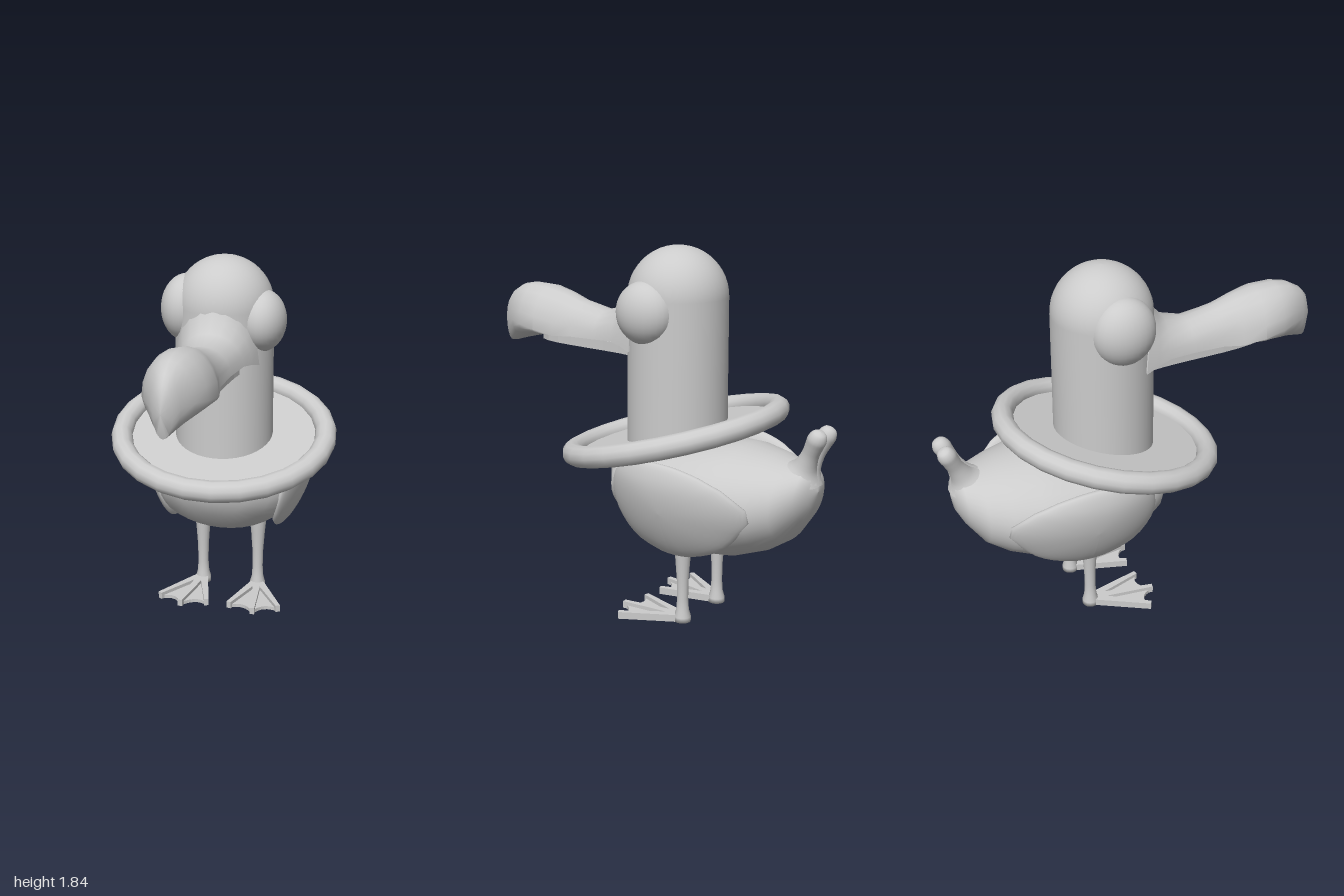
import * as THREE from 'three';
import { toCreasedNormals } from 'three/addons/utils/BufferGeometryUtils.js';

const grey = new THREE.MeshStandardMaterial({ color: 0xcccccc });
const greyDouble = new THREE.MeshStandardMaterial({ color: 0xcccccc, side: THREE.DoubleSide });
const V2 = (x, y) => new THREE.Vector2(x, y);
const V3 = (x, y, z) => new THREE.Vector3(x, y, z);

function add(parent, name, geometry, material = grey) {
  const mesh = new THREE.Mesh(geometry, material);
  mesh.name = name;
  parent.add(mesh);
  return mesh;
}

// Skin over rows of closed loops; rows run along +z, loops counterclockwise seen from +z.
function loft(rows, sides, point) {
  const pos = [], index = [];
  rows.forEach((row, i) => {
    for (let j = 0; j < sides; j++) {
      pos.push(...point(row, (j / sides) * Math.PI * 2));
      if (i === rows.length - 1) continue;
      const a = i * sides + j, b = i * sides + (j + 1) % sides;
      index.push(a, b, a + sides, b, b + sides, a + sides);
    }
  });
  const g = new THREE.BufferGeometry();
  g.setAttribute('position', new THREE.Float32BufferAttribute(pos, 3));
  g.setIndex(index);
  g.computeVertexNormals();
  return g;
}

// Flat plate drawn in x/z, standing on y = 0.
function plate(shape, height) {
  return new THREE.ExtrudeGeometry(shape, { depth: height, bevelEnabled: false, curveSegments: 8 })
    .rotateX(Math.PI / 2).translate(0, height, 0);
}

// Egg-shaped body: z, half width, top, bottom
function bodyGeometry() {
  const rows = [
    [-0.93, 0, 0.76, 0.76], [-0.915, 0.08, 0.84, 0.68], [-0.88, 0.15, 0.865, 0.61],
    [-0.8, 0.235, 0.88, 0.5], [-0.7, 0.295, 0.905, 0.435], [-0.55, 0.355, 0.93, 0.38],
    [-0.4, 0.385, 0.93, 0.365], [-0.2, 0.385, 0.9, 0.385], [-0.05, 0.35, 0.885, 0.425],
    [0.07, 0.28, 0.87, 0.49], [0.14, 0.19, 0.84, 0.575], [0.17, 0.1, 0.79, 0.65], [0.18, 0, 0.72, 0.72],
  ];
  return loft(rows, 36, ([z, w, top, bot], t) =>
    [w * Math.cos(t), (top + bot) / 2 + (top - bot) / 2 * Math.sin(t), z]);
}

// Upper beak: z, half width, top, edge height, middle of the underside, backward sweep of the edges
function beakGeometry() {
  const rows = [
    [-0.05, 0, 1.45, 1.45, 1.45, 0], [0.105, 0.21, 1.63, 1.335, 1.4, 0.09], [0.135, 0.19, 1.57, 1.355, 1.4, 0.05],
    [0.18, 0.165, 1.52, 1.365, 1.4, 0.02], [0.3, 0.135, 1.49, 1.355, 1.39, 0], [0.46, 0.125, 1.525, 1.35, 1.38, 0],
    [0.56, 0.145, 1.56, 1.345, 1.36, 0], [0.67, 0.17, 1.585, 1.37, 1.33, 0], [0.78, 0.15, 1.59, 1.385, 1.305, 0],
    [0.86, 0.115, 1.575, 1.395, 1.285, 0], [0.93, 0.07, 1.535, 1.39, 1.265, 0],
    [0.965, 0.045, 1.495, 1.38, 1.26, 0], [1, 0, 1.38, 1.38, 1.38, 0],
  ];
  const g = loft(rows, 20, ([z, w, top, edge, bot, sweep], t) => {
    const s = Math.sin(t), c = Math.cos(t);
    return [w * c, s > 0 ? edge + (top - edge) * s : edge + (edge - bot) * s, z - sweep * c * c];
  });
  return toCreasedNormals(g, 0.8);
}

// Wing: a sphere stretched to a leaf outline, bent around the body
function wingGeometry(side) {
  const cz = -0.32, cy = 0.64;
  const outline = new THREE.CatmullRomCurve3([
    [0.01, 0.68], [-0.03, 0.8], [-0.12, 0.865], [-0.28, 0.88], [-0.43, 0.865], [-0.6, 0.8], [-0.735, 0.67],
    [-0.63, 0.52], [-0.45, 0.415], [-0.26, 0.4], [-0.08, 0.47], [-0.01, 0.57],
  ].map(([z, y]) => V3(0, y - cy, z - cz)), true).getPoints(96);
  const radiusAt = (angle) => {
    let best = outline[0], gap = 9;
    for (const p of outline) {
      const d = Math.abs(Math.atan2(Math.sin(Math.atan2(p.y, p.z) - angle), Math.cos(Math.atan2(p.y, p.z) - angle)));
      if (d < gap) { gap = d; best = p; }
    }
    return best.length();
  };
  const g = new THREE.SphereGeometry(1, 40, 20).rotateZ(Math.PI / 2);
  const p = g.attributes.position;
  for (let i = 0; i < p.count; i++) {
    const sx = p.getX(i), sy = p.getY(i), sz = p.getZ(i);
    const a = Math.atan2(sy, sz), r = Math.hypot(sy, sz) * radiusAt(a);
    const y = cy + r * Math.sin(a), z = cz + r * Math.cos(a);
    const mid = 0.4 - 0.12 * Math.pow(Math.max(0, 0.8 - y) / 0.4, 1.5) - 0.1 * ((z + 0.3) / 0.44) ** 2;
    p.setXYZ(i, side * mid + sx * (sx * side > 0 ? 0.05 : 0.075), y, z);
  }
  g.computeVertexNormals();
  return g;
}

// Leg with a webbed three-toed foot
function buildLeg(side) {
  const leg = new THREE.Group();
  leg.name = side > 0 ? 'leftLeg' : 'rightLeg';
  const profile = [[0, 0], [0.042, 0], [0.042, 0.025], [0.032, 0.06], [0.028, 0.12], [0.03, 0.22], [0.038, 0.33], [0.047, 0.42], [0.05, 0.48]];
  const shank = new THREE.LatheGeometry(profile.map(([r, y]) => V2(r, y)), 16);
  add(leg, 'shank', shank.translate(side * 0.152, 0, -0.275));

  const heel = V2(0.152, -0.28);
  const tips = [V2(0.06, 0.02), V2(0.195, 0.06), V2(0.32, 0.0)];
  const web = new THREE.Shape();
  web.moveTo(side * heel.x, heel.y);
  web.lineTo(side * tips[0].x, tips[0].y);
  for (let i = 1; i < 3; i++) {
    const notch = tips[i - 1].clone().add(tips[i]).multiplyScalar(0.5).lerp(heel, 0.25);
    web.quadraticCurveTo(side * notch.x, notch.y, side * tips[i].x, tips[i].y);
  }
  add(leg, 'web', plate(web, 0.018));
  tips.forEach((tip) => {
    const dir = tip.clone().sub(heel).normalize(), n = V2(-dir.y, dir.x);
    const corners = [[heel, 0.022], [tip, 0.012], [tip, -0.012], [heel, -0.022]];
    const shape = new THREE.Shape(corners.map(([p, k]) => V2(side * (p.x + n.x * k), p.y + n.y * k)));
    add(leg, 'toe', plate(shape, 0.036));
  });
  return leg;
}

export function createModel() {
  const bird = new THREE.Group();
  bird.name = 'bird';
  add(bird, 'body', bodyGeometry());

  // Neck and domed head in one turned shape
  const neck = [V2(0.25, 0.72), V2(0.247, 1.2)];
  for (let i = 0; i <= 12; i++) {
    const a = (i / 12) * Math.PI / 2;
    neck.push(V2(0.246 * Math.cos(a), 1.595 + 0.246 * Math.sin(a)));
  }
  add(bird, 'neckAndHead', new THREE.LatheGeometry(neck, 40).translate(0, 0, -0.13));

  // Bulging eyes of slightly different size
  add(bird, 'leftEye', new THREE.SphereGeometry(1, 28, 18).scale(0.12, 0.153, 0.155)).position.set(0.2, 1.535, -0.085);
  add(bird, 'rightEye', new THREE.SphereGeometry(1, 28, 18).scale(0.125, 0.168, 0.158)).position.set(-0.187, 1.577, -0.1);

  // Beak
  add(bird, 'upperBeak', beakGeometry());
  const jaw = new THREE.Shape();
  jaw.moveTo(-0.13, 0.05);
  jaw.lineTo(0.13, 0.05);
  jaw.bezierCurveTo(0.08, 0.3, 0.13, 0.7, 0, 0.74);
  jaw.bezierCurveTo(-0.13, 0.7, -0.08, 0.3, -0.13, 0.05);
  add(bird, 'lowerBeak', plate(jaw, 0.05).translate(0, 1.3, 0));

  // Tilted collar: a rim with a flat membrane
  const collar = new THREE.Group();
  collar.name = 'collar';
  add(collar, 'rim', new THREE.TorusGeometry(0.522, 0.054, 12, 26).rotateX(Math.PI / 2));
  add(collar, 'membrane', new THREE.CircleGeometry(0.522, 26).rotateX(-Math.PI / 2), greyDouble);
  collar.position.set(0, 0.93, -0.118);
  collar.rotation.set(0.247, 0, -0.035);
  bird.add(collar);

  for (const side of [1, -1]) {
    add(bird, side > 0 ? 'leftWing' : 'rightWing', wingGeometry(side));
    bird.add(buildLeg(side));

    // Tail lobe: flared root, thin middle, rounded tip
    const lobe = new THREE.SplineCurve([[0.1, 0], [0.06, 0.05], [0.042, 0.12], [0.043, 0.18], [0.045, 0.22], [0.03, 0.252], [0, 0.262]]
      .map(([r, y]) => V2(r, y))).getPoints(20).map((q) => V2(Math.max(0, q.x), q.y));
    const tail = add(bird, 'tailLobe', new THREE.LatheGeometry(lobe, 18));
    tail.position.set(side * 0.012, 0.83, -0.845);
    tail.quaternion.setFromUnitVectors(V3(0, 1, 0), V3(side * 0.16, 0.9, -0.44).normalize());
  }
  return bird;
}
